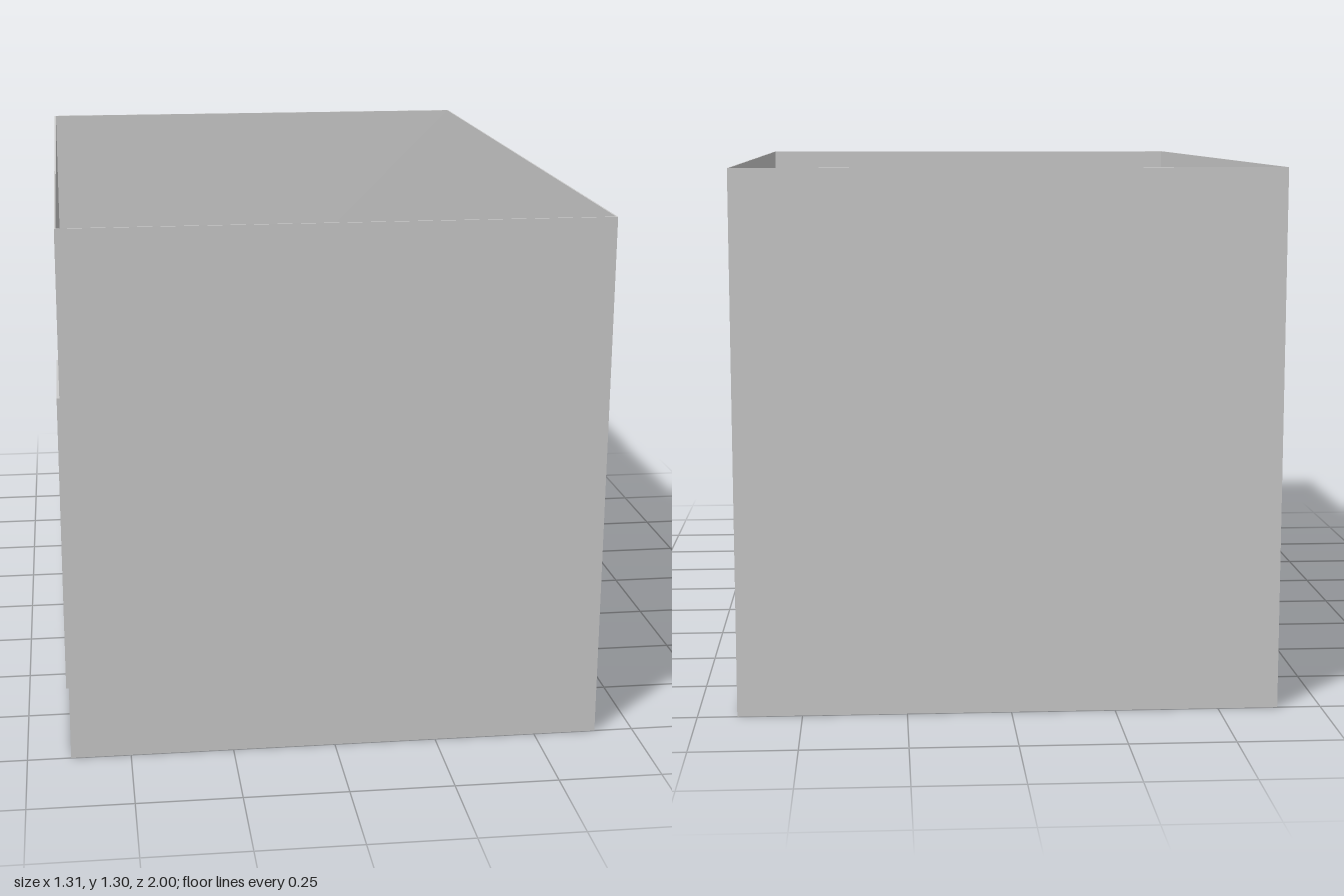
import * as THREE from 'three';

const material = new THREE.MeshStandardMaterial({ color: 0xcccccc, flatShading: true });
const X0 = -0.645, X1 = 0.655, CX = (X0 + X1) / 2;
const HEIGHT = 1.3, FLOOR = 0.006, WALL = 0.004;

export function createModel() {
  const room = new THREE.Group();
  room.name = 'room';

  // Box given by its lower and upper corners
  const box = (parent, name, [ax, ay, az], [bx, by, bz]) => {
    const mesh = new THREE.Mesh(new THREE.BoxGeometry(bx - ax, by - ay, bz - az), material);
    mesh.position.set((ax + bx) / 2, (ay + by) / 2, (az + bz) / 2);
    mesh.name = name;
    parent.add(mesh);
    return mesh;
  };

  // Frame around an opening, extruded along x; the bottom rail is optional
  const frame = (parent, name, x0, x1, y0, y1, z0, z1, w, bottomRail) => {
    const sill = bottomRail ? w : 0;
    box(parent, name + 'Jamb', [x0, y0, z0], [x1, y1, z0 + w]);
    box(parent, name + 'Jamb', [x0, y0, z1 - w], [x1, y1, z1]);
    box(parent, name + 'Head', [x0, y1 - w, z0 + w], [x1, y1, z1 - w]);
    if (sill) box(parent, name + 'Sill', [x0, y0, z0 + w], [x1, y0 + w, z1 - w]);
  };

  // Floor slab and four thin walls, open on top
  box(room, 'floor', [X0, 0, -1], [X1, FLOOR, 1]);
  box(room, 'rightWall', [X0, FLOOR, -1], [X0 + WALL, HEIGHT, 1]);
  box(room, 'leftWall', [X1 - WALL, FLOOR, -1], [X1, HEIGHT, 1]);
  box(room, 'backWall', [X0 + WALL, FLOOR, -1], [X1 - WALL, HEIGHT, -1 + WALL]);
  box(room, 'frontWall', [X0 + WALL, FLOOR, 1 - WALL], [X1 - WALL, HEIGHT, 1]);

  // Door set in the right wall, with its frame showing on both sides
  const door = new THREE.Group();
  door.name = 'door';
  frame(door, 'doorFrame', -0.655, -0.625, FLOOR, 0.795, 0.222, 0.608, 0.015, false);
  box(door, 'doorLeaf', [X0 - 0.002, FLOOR, 0.237], [X0 + 0.008, 0.78, 0.593]);
  const knob = new THREE.Mesh(new THREE.SphereGeometry(0.008, 12, 8), material);
  knob.name = 'doorKnob';
  knob.position.set(-0.631, 0.38, 0.28);
  door.add(knob);
  room.add(door);

  // Framed board on the inside of the right wall
  const board = new THREE.Group();
  board.name = 'wallBoard';
  frame(board, 'boardFrame', X0 + WALL, -0.627, 0.4, 0.87, -0.735, -0.03, 0.01, true);
  box(board, 'boardPanel', [X0 + WALL, 0.41, -0.725], [-0.631, 0.86, -0.04]);
  room.add(board);

  // Free-standing block with rounded ends
  const r = 0.039, half = 0.043;
  const outline = new THREE.Shape();
  outline.absarc(0, half, r, 0, Math.PI);
  outline.absarc(0, -half, r, Math.PI, 2 * Math.PI);
  const geometry = new THREE.ExtrudeGeometry(outline, { depth: 0.3, bevelEnabled: false, curveSegments: 16 });
  geometry.rotateX(-Math.PI / 2);
  const block = new THREE.Mesh(geometry, material);
  block.name = 'roundedBlock';
  block.position.set(CX - 0.142, FLOOR, -0.538);
  room.add(block);

  return room;
}
